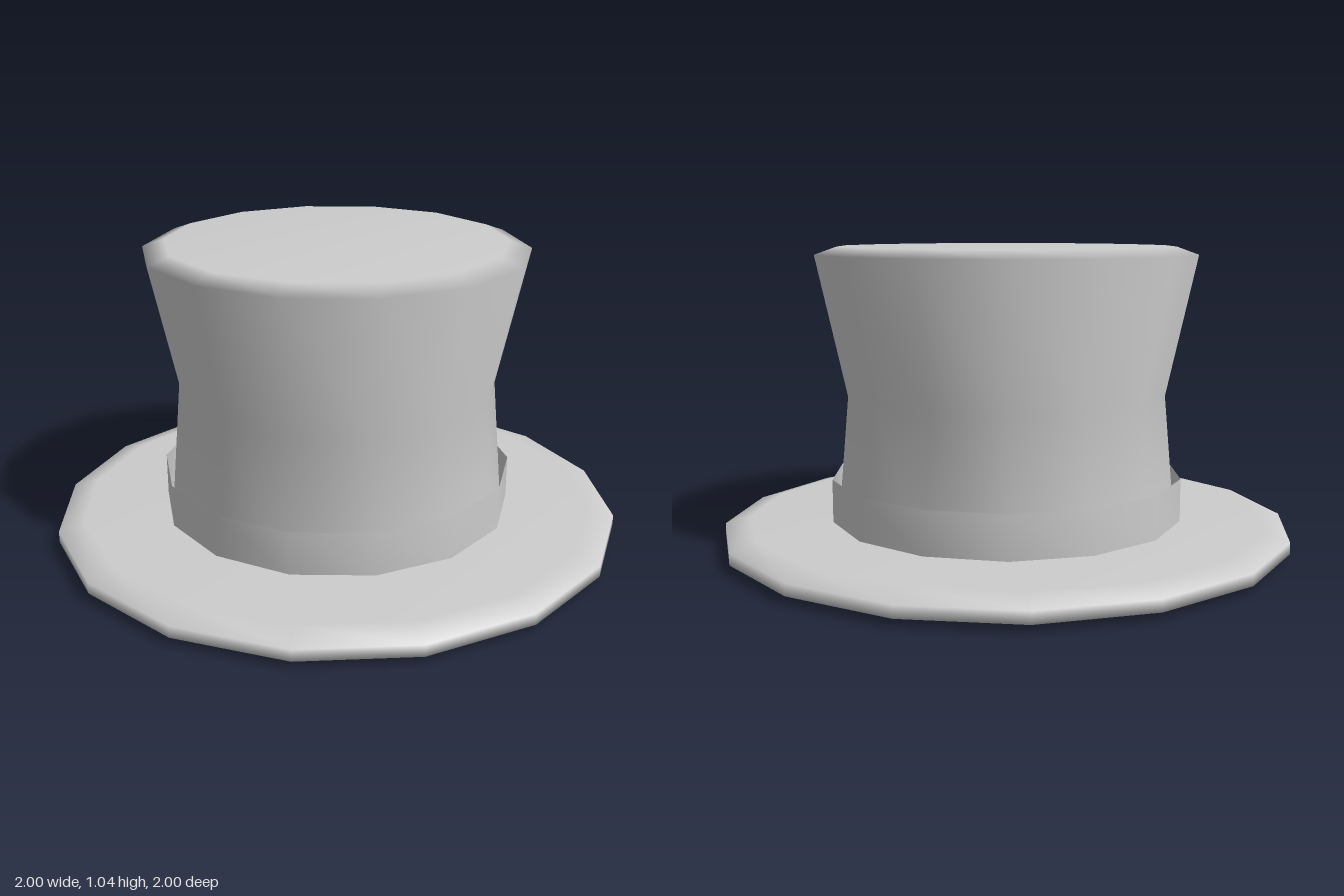
import * as THREE from 'three';
import { mergeVertices } from 'three/addons/utils/BufferGeometryUtils.js';

// Faceted solid of revolution (profile runs bottom to top) with area-weighted smooth normals
function turned(name, profile, sides, material) {
  const points = profile.map(([r, y]) => new THREE.Vector2(r, y));
  let geometry = new THREE.LatheGeometry(points, sides, Math.PI / 2);
  geometry.deleteAttribute('uv');
  geometry.deleteAttribute('normal');
  geometry = mergeVertices(geometry, 1e-4);
  geometry.computeVertexNormals();
  const mesh = new THREE.Mesh(geometry, material);
  mesh.name = name;
  return mesh;
}

export function createModel() {
  const felt = new THREE.MeshStandardMaterial({ color: 0xcccccc, side: THREE.DoubleSide });
  felt.name = 'grey felt';

  const hat = new THREE.Group();
  hat.name = 'topHat';

  // Wide brim with a bevelled rim
  hat.add(turned('brim', [
    [0, 0.005], [0.91, 0.005], [1, 0.03], [1, 0.07], [0.91, 0.095], [0, 0.095],
  ], 16, felt));

  // Waisted crown flaring to a bevelled flat top
  hat.add(turned('crown', [
    [0.6, 0.09], [0.56, 0.535], [0.665, 1.02], [0.59, 1.047], [0, 1.047],
  ], 14, felt));

  // Thin open band standing slightly off the crown
  hat.add(turned('band', [[0.62, 0.09], [0.62, 0.245]], 14, felt));

  return hat;
}
